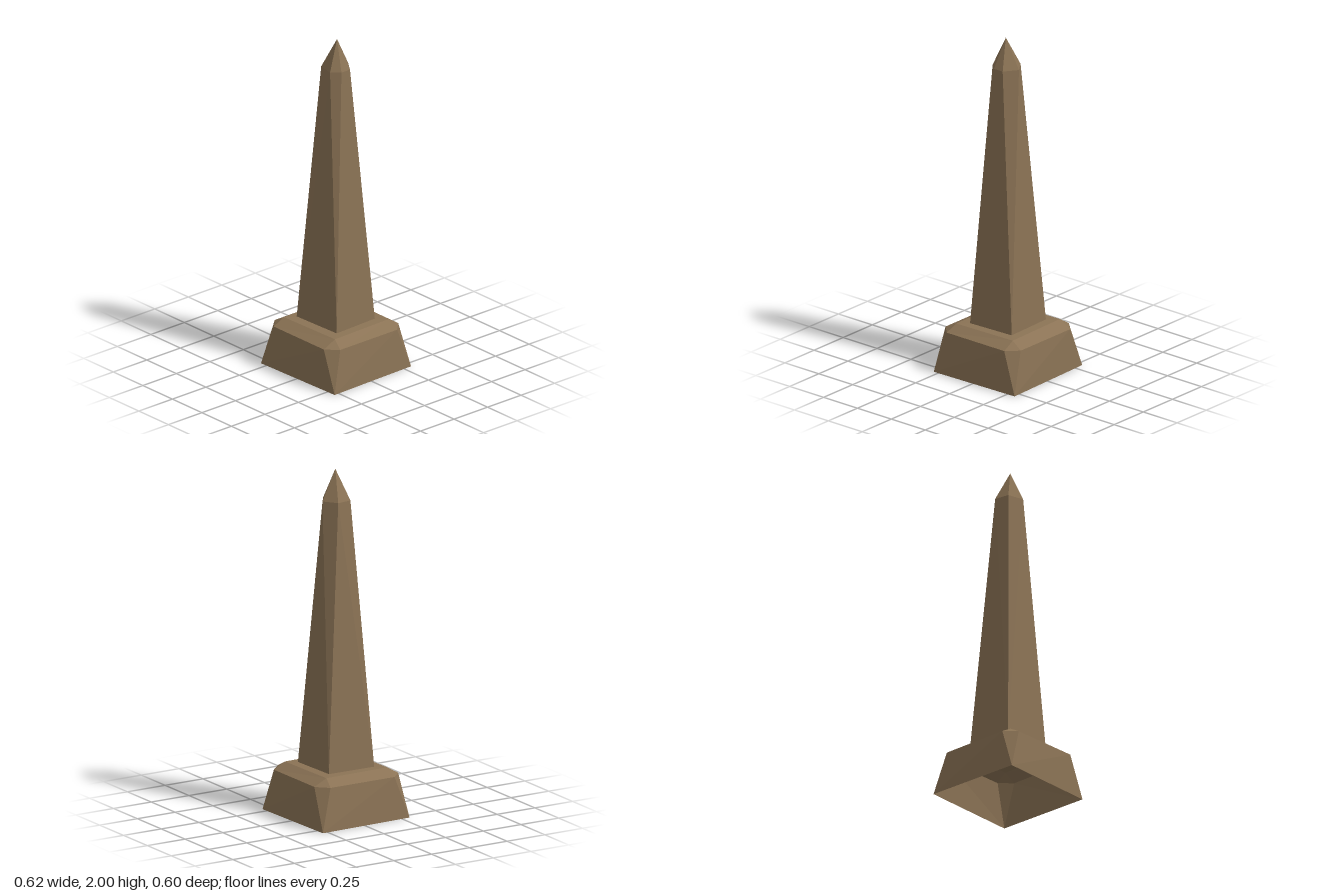
import * as THREE from 'three';

const stone = new THREE.MeshStandardMaterial({ color: 0x8b7355, flatShading: true, side: THREE.DoubleSide });
stone.name = 'weathered stone';

// lift [x, z] pairs to height y
const ring = (y, pairs) => pairs.map(([x, z]) => [x, y, z]);

// faceted mesh from a list of corner triples
function facets(name, faces) {
  const geometry = new THREE.BufferGeometry();
  geometry.setAttribute('position', new THREE.Float32BufferAttribute(faces.flat(2), 3));
  geometry.computeVertexNormals();
  const mesh = new THREE.Mesh(geometry, stone);
  mesh.name = name;
  return mesh;
}

// quad as two triangles
const quad = (a, b, c, d) => [[a, b, c], [a, c, d]];

export function createModel() {
  const group = new THREE.Group();
  group.name = 'obelisk';

  // rings run back left, back right, front right, front left
  const foot = ring(0, [[-0.31, -0.283], [0.293, -0.302], [0.308, 0.281], [-0.294, 0.3]]);
  const rim = ring(0.245, [
    [-0.277, -0.212], [-0.212, -0.278], [0.212, -0.278], [0.277, -0.212],
    [0.277, 0.212], [0.212, 0.277], [-0.212, 0.277], [-0.277, 0.212],
  ]);
  const ledge = ring(0.285, [[-0.215, -0.2], [0.203, -0.211], [0.214, 0.196], [-0.205, 0.208]]);
  const seat = ring(0.287, [[-0.157, -0.147], [0.15, -0.158], [0.163, 0.138], [-0.162, 0.15]]);

  // plinth: sloping walls, cut corners, bevel and ledge, open below
  const walls = [], bevel = [], top = [];
  for (let i = 0; i < 4; i++) {
    const j = (i + 1) % 4;
    const cornerA = rim[2 * i], cornerB = rim[2 * i + 1], next = rim[2 * j];
    walls.push([foot[i], cornerA, cornerB], ...quad(foot[j], foot[i], cornerB, next));
    bevel.push([cornerB, cornerA, ledge[i]], ...quad(next, cornerB, ledge[i], ledge[j]));
    top.push(...quad(ledge[j], ledge[i], seat[i], seat[j]));
  }
  group.add(facets('plinthWalls', walls), facets('plinthBevel', bevel), facets('plinthTop', top));

  // shaft: square foot twisting into an uneven six-sided shoulder
  const [bl, br, fr, fl] = seat;
  const shoulder = ring(1.825, [
    [0.005, -0.087], [0.082, -0.033], [0.082, 0.031], [0.039, 0.078], [-0.06, 0.057], [-0.073, -0.032],
  ]);
  const [s0, s1, s2, s3, s4, s5] = shoulder;
  group.add(facets('shaft', [
    [br, bl, s0], [br, s0, s1],
    ...quad(fr, br, s1, s2),
    [fr, s2, s3], [fl, fr, s3],
    [fl, s3, s4], [fl, s4, s5],
    [bl, fl, s5], [bl, s5, s0],
  ]));

  // pointed cap
  const apex = [0.013, 2, 0.003];
  group.add(facets('pointedCap', shoulder.map((p, i) => [shoulder[(i + 1) % 6], p, apex])));
  return group;
}
